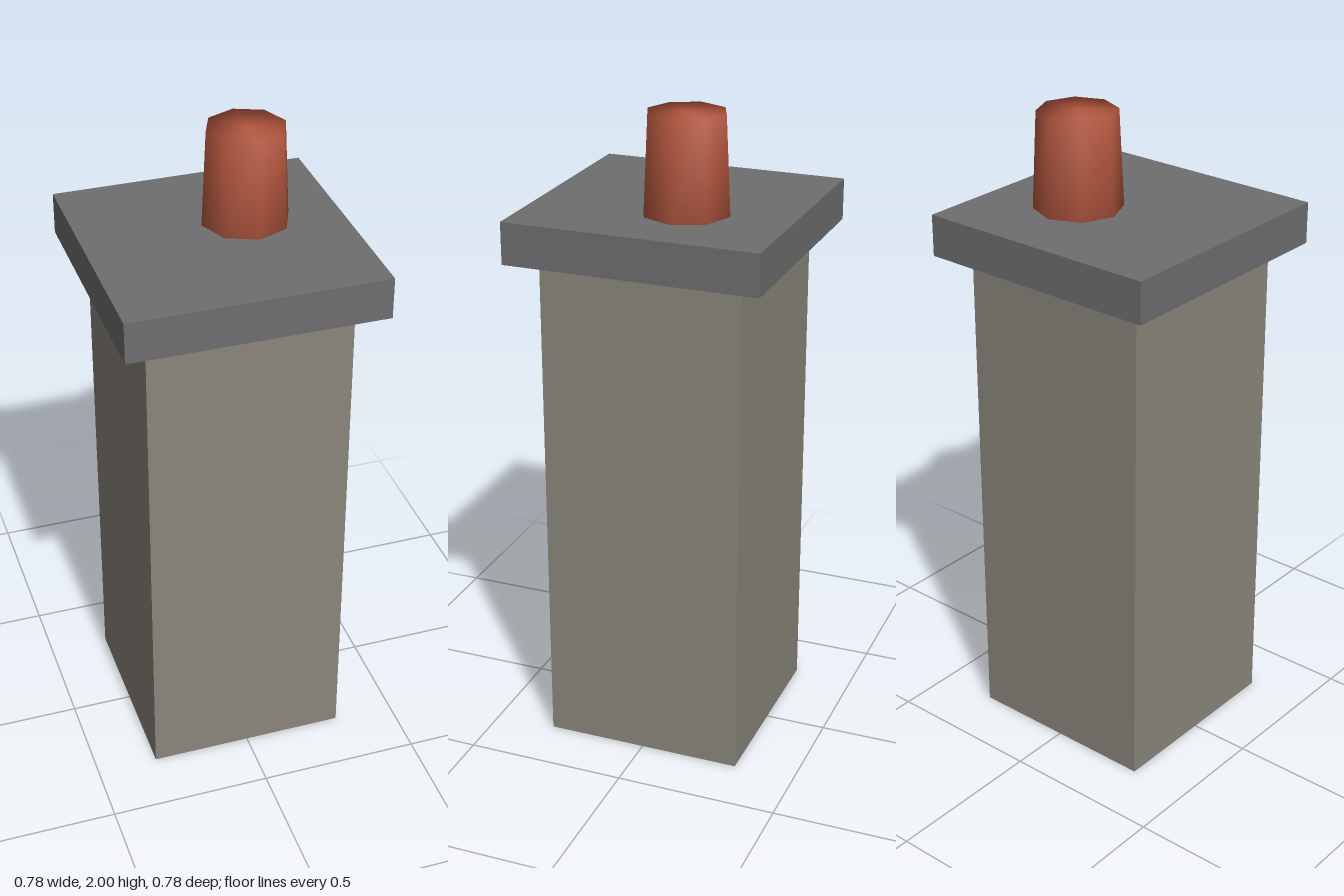
import * as THREE from 'three';
import { mergeVertices } from 'three/addons/utils/BufferGeometryUtils.js';

function part(name, geometry, color, x, y, z) {
  const mesh = new THREE.Mesh(geometry, new THREE.MeshStandardMaterial({ color }));
  mesh.name = name;
  mesh.position.set(x, y, z);
  return mesh;
}

// Weld all corners so the shading runs smoothly over the rim
function weld(geometry) {
  geometry.deleteAttribute('normal');
  geometry.deleteAttribute('uv');
  const welded = mergeVertices(geometry, 1e-4);
  welded.computeVertexNormals();
  return welded;
}

export function createModel() {
  const group = new THREE.Group();
  group.name = 'chimney';

  // Square stack, standing on the ground
  const stackHeight = 1.577;
  group.add(part('stack', new THREE.BoxGeometry(0.62, stackHeight, 0.62), 0x8a867c, 0, stackHeight / 2, 0));

  // Overhanging cap slab
  const slabHeight = 0.128;
  group.add(part('capSlab', new THREE.BoxGeometry(0.78, slabHeight, 0.78), 0x6e6e70, 0, stackHeight + slabHeight / 2, 0));

  // Tapered eight-sided pot, set off-centre on the slab
  const potBase = stackHeight + slabHeight;
  const potHeight = 2 - potBase;
  const pot = weld(new THREE.CylinderGeometry(0.12, 0.134, potHeight, 8));
  group.add(part('chimneyPot', pot, 0xb5583f, 0.107, potBase + potHeight / 2, -0.068));

  return group;
}
